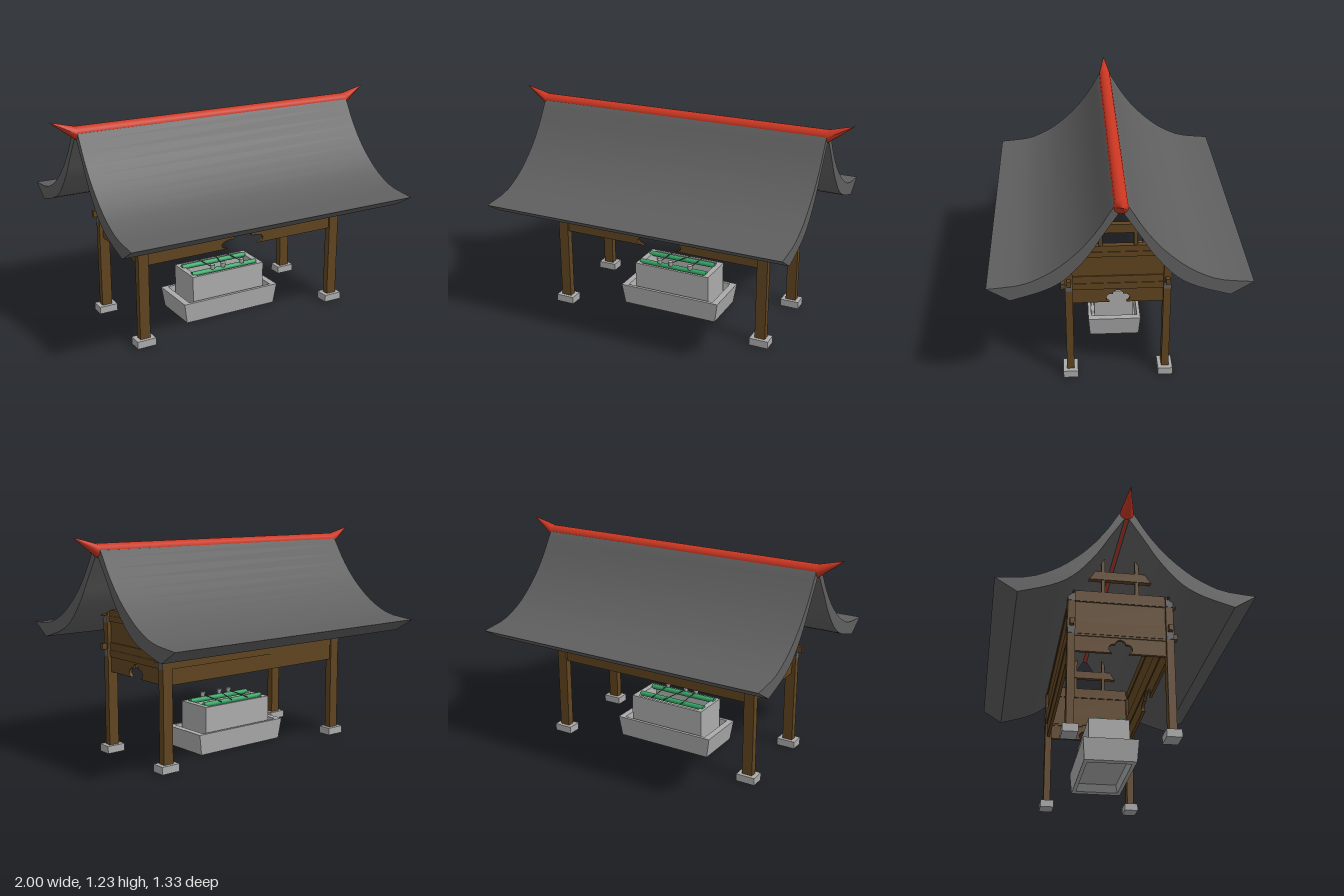
import * as THREE from 'three';
import { toCreasedNormals } from 'three/addons/utils/BufferGeometryUtils.js';

export function createModel() {
  const root = new THREE.Group();
  root.name = 'waterPavilion';
  const mat = (name, color, side = THREE.FrontSide) => {
    const m = new THREE.MeshStandardMaterial({ color, side });
    m.name = name;
    return m;
  };
  const wood = mat('wood', 0x604420);
  const slate = mat('slate', 0x5f5f5f);
  const red = mat('red', 0xcc3722);
  const stone = mat('stone', 0xababab);
  const bamboo = mat('bamboo', 0x35a565);

  const add = (name, geo, material, x = 0, y = 0, z = 0) => {
    const m = new THREE.Mesh(geo, material);
    m.name = name;
    m.position.set(x, y, z);
    root.add(m);
    return m;
  };
  // box given by centre x/z, bottom and top
  const block = (name, material, x, z, w, d, y0, y1) =>
    add(name, new THREE.BoxGeometry(w, y1 - y0, d), material, x, (y0 + y1) / 2, z);

  // ---- Curved roof: one cross-section swept along x ----
  const spline = pts => new THREE.SplineCurve(pts.map(p => new THREE.Vector2(...p))).getPoints(16);
  const top = spline([[0.015, 1.18], [0.04, 1.155], [0.11, 1.04], [0.2, 0.927],
    [0.306, 0.832], [0.395, 0.776], [0.5, 0.735], [0.665, 0.718]]);
  const under = spline([[0.55, 0.646], [0.38, 0.7], [0.27, 0.767], [0.164, 0.888],
    [0.09, 1.005], [0.012, 1.125]]);
  const half = [...top, ...under];
  const mirrored = half.map(p => new THREE.Vector2(-p.x, p.y)).reverse();
  const roofGeo = new THREE.ExtrudeGeometry(new THREE.Shape([...half, ...mirrored]),
    { depth: 1.72, bevelEnabled: false, steps: 1 });
  roofGeo.translate(0, 0, -0.86).rotateY(Math.PI / 2);
  add('roof', toCreasedNormals(roofGeo, 0.5), slate);

  // ---- Ridge pole with upturned horns ----
  const R = 0.036, ridgeY = 1.159;
  add('ridgePole', new THREE.CylinderGeometry(R, R, 1.72, 12, 1, true).rotateZ(Math.PI / 2), red, 0, ridgeY);
  for (const s of [-1, 1]) {
    const horn = new THREE.ConeGeometry(R, 0.14, 12, 4).rotateZ(-s * Math.PI / 2);
    const p = horn.attributes.position;
    for (let i = 0; i < p.count; i++) {
      const t = (p.getX(i) * s + 0.07) / 0.14;
      p.setY(i, p.getY(i) + 0.071 * t);
    }
    horn.computeVertexNormals();
    add('ridgeHorn', horn, red, s * 0.93, ridgeY);
  }

  // ---- Posts, footings, metal plates ----
  const px = 0.62, pz = 0.258;
  for (const sx of [-1, 1]) for (const sz of [-1, 1]) {
    const x = sx * px, z = sz * pz;
    block('footing', stone, x, z, 0.11, 0.08, 0, 0.042);
    block('post', wood, x, z, 0.06, 0.04, 0.042, 0.81);
    for (const y of [0, 0.19]) {
      block('metalPlate', slate, x, z + sz * 0.021, 0.058, 0.004, 0.585 + y, 0.63 + y);
      block('metalPlate', slate, x + sx * 0.031, z, 0.004, 0.039, 0.55 + y, 0.59 + y);
    }
  }
  // ---- Through beams with projecting ends ----
  for (const s of [-1, 1]) for (const y of [0, 0.19]) {
    block('longBeam', wood, 0, s * pz, 1.36, 0.022, 0.59 + y, 0.624 + y);
    block('crossBeam', wood, s * px, 0.011, 0.037, 0.578, 0.556 + y, 0.586 + y);
  }

  // ---- Wall boards; lowest board may carry a three-lobed cut-out ----
  const board = (halfLen, lobe) => {
    const y0 = 0.46, y1 = 0.546;
    const pts = [[-halfLen, y1], [-halfLen, y0]];
    if (lobe) {
      const arc = (cx, cy, a0, a1) => {
        for (let i = 0; i <= 10; i++) {
          const a = THREE.MathUtils.degToRad(a0 + (a1 - a0) * i / 10);
          pts.push([cx + 0.45 * lobe * Math.cos(a), y0 + cy + 0.027 * Math.sin(a)]);
        }
      };
      arc(-0.55 * lobe, 0.0255, 248, 90);
      arc(0, 0.049, 180, 0);
      arc(0.55 * lobe, 0.0255, 90, -68);
    }
    pts.push([halfLen, y0], [halfLen, y1]);
    const g = new THREE.ExtrudeGeometry(new THREE.Shape(pts.map(p => new THREE.Vector2(...p))),
      { depth: 0.018, bevelEnabled: false });
    return g.translate(0, 0, -0.009);
  };
  const upperBoards = [[0.546, 0.628, 0.03], [0.628, 0.745, 0.018], [0.745, 0.81, 0.03]];
  for (const s of [-1, 1]) {
    add('longLowerBoard', board(0.592, s > 0 ? 0.135 : 0), wood, 0, 0, s * pz);
    add('endLowerBoard', board(0.24, 0.062).rotateY(Math.PI / 2), wood, s * px);
    for (const [y0, y1, t] of upperBoards) {
      block('longBoard', wood, 0, s * pz, 1.184, t, y0, y1);
      block('endBoard', wood, s * px, 0, t, 0.48, y0, y1);
    }
    // gable frame
    block('gableTie', wood, s * px, 0, 0.03, 0.35, 0.886, 0.935);
    for (const z of [-0.09, 0.09]) block('gableStrut', wood, s * px, z, 0.022, 0.02, 0.81, 1.015);
  }

  // ---- Stone basin: four-sided lathes stretched to rectangles ----
  const trough = (name, hx, hz, profile) => {
    let g = new THREE.LatheGeometry(profile.map(p => new THREE.Vector2(p[0] * Math.SQRT2, p[1])), 4, Math.PI / 4);
    g = g.scale(hx, 1, hz).toNonIndexed();
    g.computeVertexNormals();
    add(name, g, stone);
  };
  trough('lowerTrough', 0.31, 0.15, [[0, 0.04], [0.72, 0.04], [0.8, 0], [0.94, 0],
    [1, 0.119], [0.88, 0.119], [0.84, 0.06], [0, 0.06]]);
  trough('upperBasin', 0.235, 0.112, [[1, 0.06], [1, 0.259], [0.86, 0.259], [0.82, 0.19], [0, 0.19]]);

  // ---- Bamboo rails and ladles ----
  for (const z of [0.07, -0.055])
    add('bambooRail', new THREE.CylinderGeometry(0.015, 0.015, 0.426, 10).rotateZ(Math.PI / 2),
      bamboo, -0.007, 0.259, z);
  for (const [x, lean] of [[-0.09, 0], [-0.02, 0.05], [0.105, 0]]) {
    add('ladleCup', new THREE.CylinderGeometry(0.015, 0.013, 0.026, 10), stone, x, 0.285, 0.08);
    const handle = new THREE.LineCurve3(new THREE.Vector3(x, 0.283, 0.068), new THREE.Vector3(x + lean, 0.269, -0.096));
    add('ladleHandle', new THREE.TubeGeometry(handle, 1, 0.003, 6), slate);
  }
  return root;
}
